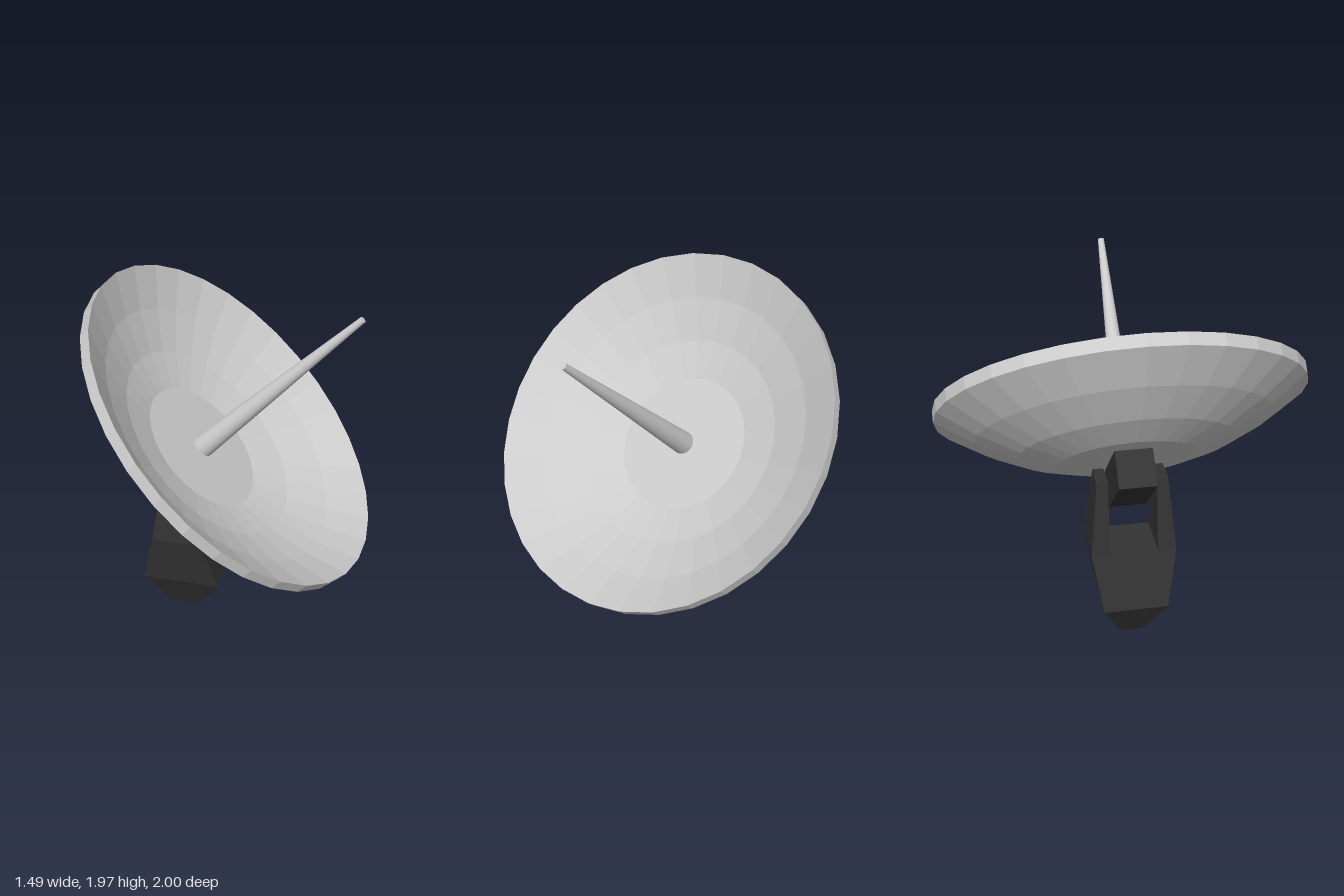
import * as THREE from 'three';

const grey = new THREE.MeshStandardMaterial({ color: 0xcccccc, flatShading: true });
const greySmooth = new THREE.MeshStandardMaterial({ color: 0xcccccc });
const dark = new THREE.MeshStandardMaterial({ color: 0x333333, flatShading: true });

function part(name, geometry, material, parent) {
  const mesh = new THREE.Mesh(geometry, material);
  mesh.name = name;
  parent.add(mesh);
  return mesh;
}

// Closed solid through rectangular sections [y, x0, x1, z0, z1], listed upwards
function loft(sections) {
  const pos = [], index = [];
  for (const [y, x0, x1, z0, z1] of sections) {
    pos.push(x0, y, z1, x1, y, z1, x1, y, z0, x0, y, z0);
  }
  const quad = (a, b, c, d) => index.push(a, b, c, a, c, d);
  const last = (sections.length - 1) * 4;
  for (let s = 0; s < last; s += 4) {
    for (let i = 0; i < 4; i++) {
      const j = (i + 1) % 4;
      quad(s + i, s + j, s + 4 + j, s + 4 + i);
    }
  }
  quad(3, 2, 1, 0);
  quad(last, last + 1, last + 2, last + 3);
  const g = new THREE.BufferGeometry();
  g.setAttribute('position', new THREE.Float32BufferAttribute(pos, 3));
  g.setIndex(index);
  const flat = g.toNonIndexed();
  flat.computeVertexNormals();
  return flat;
}

export function createModel() {
  const model = new THREE.Group();
  model.name = 'dishAntenna';

  // Tapered foot that widens up to the fork
  const stand = new THREE.Group();
  stand.name = 'stand';
  model.add(stand);
  part('standBase', loft([
    [0, -0.365, -0.2, -0.065, 0.065],
    [0.24, -0.5, -0.06, -0.175, 0.175],
    [0.56, -0.42, -0.145, -0.23, 0.23],
  ]), dark, stand);

  // Two fork arms either side of the slot
  for (const side of [1, -1]) {
    const span = (a, b) => (side > 0 ? [a, b] : [-b, -a]);
    part(side > 0 ? 'frontForkArm' : 'backForkArm', loft([
      [0.56, -0.42, -0.145, ...span(0.13, 0.23)],
      [0.975, -0.36, -0.21, ...span(0.13, 0.19)],
    ]), dark, stand);
  }

  // Tilted head: local y is the dish axis, origin at the rim centre
  const head = new THREE.Group();
  head.name = 'tiltedHead';
  head.position.set(0.02, 1.28, 0);
  head.rotation.z = -0.764;
  model.add(head);

  // Faceted bowl: outer profile upwards, then inner profile back down
  const wall = 0.066;
  const curve = [[0, -0.355], [0.375, -0.355], [0.58, -0.295], [0.795, -0.194], [1, -wall]];
  const profile = [
    ...curve.map(([r, y]) => new THREE.Vector2(r, y)),
    ...curve.map(([r, y]) => new THREE.Vector2(r, y + wall)).reverse(),
  ];
  part('dish', new THREE.LatheGeometry(profile, 32), grey, head);

  // Feed rod tapering from the bowl's centre
  const rod = part('feedRod', new THREE.CylinderGeometry(0.017, 0.064, 1.2, 32), greySmooth, head);
  rod.position.y = 0.305;

  // Block behind the bowl, held between the arms
  const block = part('mountBlock', new THREE.BoxGeometry(0.45, 0.23, 0.2), dark, head);
  block.position.y = -0.441;

  return model;
}
